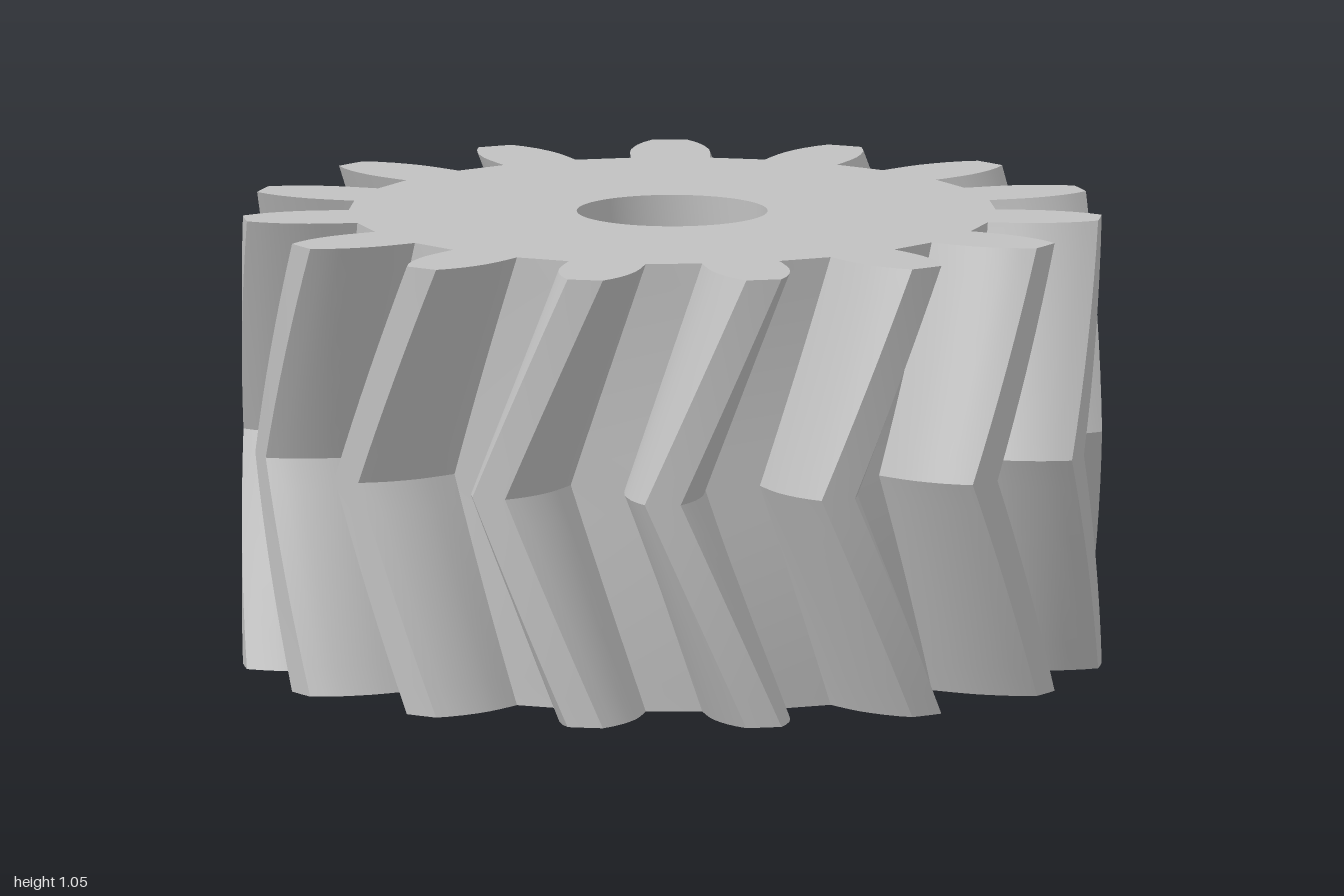
import * as THREE from 'three';
import { toCreasedNormals } from 'three/addons/utils/BufferGeometryUtils.js';

const TEETH = 15;
const HEIGHT = 1.055;
const BORE = 0.222;
const TWIST = THREE.MathUtils.degToRad(13.6); // tooth rotation from mid plane to each face

// half of one tooth: [radius, half angle in degrees], root to tip
const FLANK = [
  [0.752, 7.0], [0.79, 6.75], [0.83, 6.45], [0.865, 6.05],
  [0.9, 5.4], [0.935, 4.6], [0.97, 3.55], [1, 2.4],
];

function gearOutline() {
  const tooth = [
    ...FLANK.map(([r, a]) => [r, -a]),
    [1, 0],
    ...FLANK.map(([r, a]) => [r, a]).reverse(),
  ];
  const points = [];
  for (let i = 0; i < TEETH; i++) {
    for (const [r, a] of tooth) {
      const t = THREE.MathUtils.degToRad(a + (i * 360) / TEETH);
      points.push(new THREE.Vector2(r * Math.cos(t), r * Math.sin(t)));
    }
  }
  const shape = new THREE.Shape(points);
  shape.holes.push(new THREE.Path().absarc(0, 0, BORE, 0, Math.PI * 2, true));
  return shape;
}

export function createModel() {
  const steel = new THREE.MeshStandardMaterial({ color: 0xc0c0c0 });
  steel.name = 'grey steel';

  const geometry = new THREE.ExtrudeGeometry(gearOutline(), {
    depth: HEIGHT, steps: 16, curveSegments: 32, bevelEnabled: false,
  });
  geometry.rotateX(-Math.PI / 2);

  // twist each level away from the mid plane, giving V-shaped teeth
  const pos = geometry.attributes.position;
  const v = new THREE.Vector3();
  const up = new THREE.Vector3(0, 1, 0);
  for (let i = 0; i < pos.count; i++) {
    v.fromBufferAttribute(pos, i);
    v.applyAxisAngle(up, TWIST * Math.abs((2 * v.y) / HEIGHT - 1));
    pos.setXYZ(i, v.x, v.y, v.z);
  }

  const gear = new THREE.Mesh(toCreasedNormals(geometry, THREE.MathUtils.degToRad(25)), steel);
  gear.name = 'herringboneGear';

  const model = new THREE.Group();
  model.name = 'gear';
  model.add(gear);
  return model;
}
